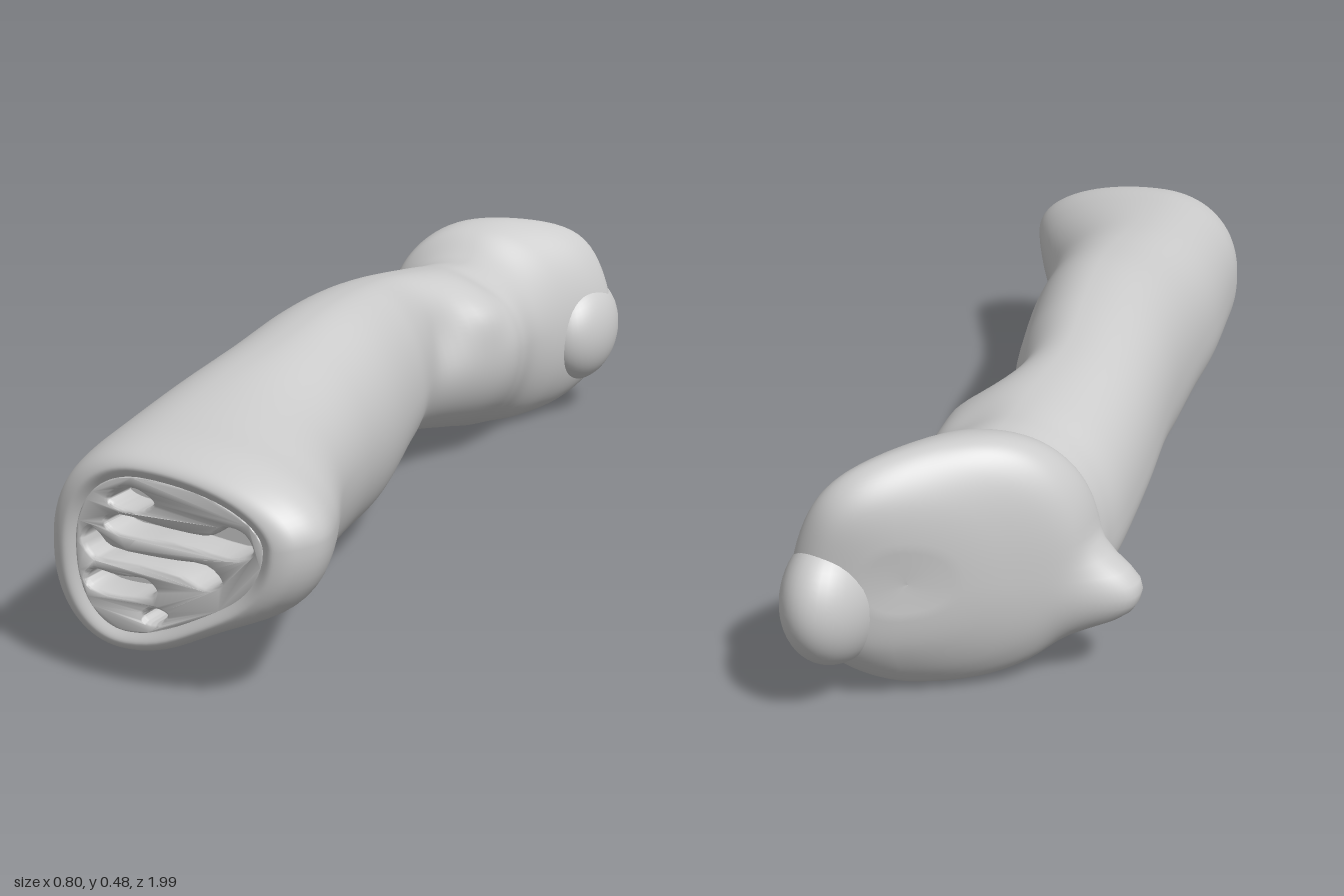
import * as THREE from 'three';
import { mergeVertices, toCreasedNormals } from 'three/addons/utils/BufferGeometryUtils.js';

// Cross-sections: [zLeft, xLeft, yLeft, zRight, xRight, yRight, xTop, yTop, xBottom, yBottom]
const shaftRows = [
  [0.983, -0.045, 0.23, 0.983, 0.32, 0.29, 0.10, 0.375, 0.06, 0.10],
  [0.993, -0.07, 0.22, 0.993, 0.345, 0.295, 0.10, 0.395, 0.055, 0.08],
  [0.97, -0.105, 0.22, 0.97, 0.378, 0.30, 0.10, 0.415, 0.045, 0.06],
  [0.91, -0.127, 0.22, 0.91, 0.395, 0.30, 0.10, 0.43, 0.04, 0.05],
  [0.80, -0.145, 0.22, 0.80, 0.35, 0.285, 0.07, 0.437, 0.03, 0.043],
  [0.60, -0.175, 0.22, 0.60, 0.25, 0.27, 0.03, 0.45, 0.02, 0.04],
  [0.40, -0.195, 0.23, 0.40, 0.19, 0.26, 0.01, 0.466, 0.00, 0.04],
  [0.20, -0.22, 0.24, 0.20, 0.145, 0.26, -0.02, 0.48, -0.02, 0.042],
  [0.00, -0.25, 0.25, 0.00, 0.09, 0.26, -0.06, 0.472, -0.07, 0.082],
  [-0.20, -0.28, 0.23, -0.20, 0.035, 0.26, -0.10, 0.45, -0.11, 0.09],
  [-0.40, -0.30, 0.21, -0.40, 0.09, 0.25, -0.10, 0.427, -0.10, 0.055],
  [-0.50, -0.30, 0.20, -0.50, 0.085, 0.24, -0.10, 0.415, -0.10, 0.03],
];
// The head leans so its end face looks back and to one side
const headRows = [
  [-0.56, -0.305, 0.21, -0.62, 0.066, 0.23, -0.10, 0.415, -0.08, 0.015],
  [-0.60, -0.318, 0.24, -0.74, 0.09, 0.22, -0.12, 0.465, -0.06, 0.004],
  [-0.66, -0.315, 0.24, -0.85, 0.13, 0.22, -0.12, 0.48, -0.05, 0.008],
  [-0.71, -0.29, 0.24, -0.91, 0.13, 0.22, -0.09, 0.46, -0.04, 0.05],
  [-0.775, -0.215, 0.245, -0.935, 0.075, 0.23, -0.065, 0.40, -0.04, 0.12],
  [-0.825, -0.145, 0.25, -0.91, 0.0, 0.24, -0.065, 0.32, -0.06, 0.19],
  [-0.865, -0.07, 0.25, -0.865, -0.069, 0.25, -0.07, 0.251, -0.07, 0.25],
];

// Smooth local swellings: centre, push, radius, falloff power (higher is blunter)
const bumps = [
  { at: [-0.32, 0.16, -0.62], push: [-0.088, 0, 0.005], r: 0.075, n: 3 }, // side knob
  { at: [0.02, 0.40, -0.86], push: [0.01, 0.012, -0.03], r: 0.11, n: 2 }, // head shoulder
  { at: [0.03, 0.33, -0.24], push: [-0.015, -0.01, 0], r: 0.07, n: 2 }, // shaft dents
  { at: [-0.02, 0.38, -0.48], push: [0, -0.015, 0], r: 0.07, n: 2 },
  { at: [0.04, 0.33, -0.36], push: [0.012, 0.008, 0], r: 0.05, n: 2 },
  { at: [0.24, 0.09, 0.93], push: [-0.02, 0.025, 0], r: 0.13, n: 2 },
].map(b => ({ ...b, at: new THREE.Vector3(...b.at), push: new THREE.Vector3(...b.push) }));

// Point on a section made of four quarter ellipses, a little fuller on the right flank (-x)
function sectionPoint(s, t) {
  const [zl, xl, yl, zr, xr, yr, xt, yt, xb, yb] = s;
  const c = Math.cos(t), n = Math.sin(t), e = c < 0 ? 0.88 : 1;
  const xm = n > 0 ? xt : xb, ym = c > 0 ? yr : yl;
  const x = xm + ((c > 0 ? xr : xl) - xm) * Math.abs(c) ** e;
  const y = ym + ((n > 0 ? yt : yb) - ym) * Math.abs(n) ** e;
  return new THREE.Vector3(x, y, zl + (zr - zl) * (x - xl) / (xr - xl));
}

function swell(p) {
  const o = p.clone();
  for (const b of bumps) p.addScaledVector(b.push, Math.exp(-Math.pow(o.distanceTo(b.at) / b.r, b.n)));
  return p;
}

function catmull(a, b, c, d, t) {
  return 0.5 * (2 * b + (c - a) * t + (2 * a - 5 * b + 4 * c - d) * t * t + (3 * b - a - 3 * c + d) * t * t * t);
}

// Skin through all sections
function loft(rows, sides, steps) {
  const pos = [], idx = [], last = rows.length - 1;
  const total = last * steps;
  for (let i = 0; i <= total; i++) {
    const k = Math.min(Math.floor(i / steps), last - 1), t = i / steps - k;
    const [a, b, c, d] = [k - 1, k, k + 1, k + 2].map(q => rows[Math.min(Math.max(q, 0), last)]);
    // linear over the closing cap, so the tip cannot fold over
    const s = b.map((v, m) => k === last - 1 ? v + (c[m] - v) * t : catmull(a[m], v, c[m], d[m], t));
    for (let j = 0; j < sides; j++) {
      pos.push(...swell(sectionPoint(s, j / sides * Math.PI * 2)).toArray());
      if (i < total) {
        const e = i * sides + j, f = i * sides + (j + 1) % sides;
        idx.push(e, e + sides, f, f, e + sides, f + sides);
      }
    }
  }
  const g = new THREE.BufferGeometry();
  g.setAttribute('position', new THREE.Float32BufferAttribute(pos, 3));
  g.setIndex(idx);
  g.computeVertexNormals();
  return g;
}

export function createModel() {
  const group = new THREE.Group();
  group.name = 'bone';
  const mat = new THREE.MeshStandardMaterial({ color: 0xcccccc, roughness: 0.8, side: THREE.DoubleSide });
  const add = (name, geo, x = 0, y = 0, z = 0) => {
    const m = new THREE.Mesh(geo, mat);
    m.name = name;
    m.position.set(x, y, z);
    group.add(m);
    return m;
  };

  add('boneShaftAndHead', loft([...shaftRows, ...headRows], 80, 8));

  // Rounded knuckle at the far end, tilted up towards the back
  const knuckle = add('endKnuckle', new THREE.SphereGeometry(1, 40, 28), 0.068, 0.205, -0.862);
  knuckle.scale.set(0.086, 0.122, 0.136);
  knuckle.rotation.x = 0.35;

  // Pierced plate closing the front end
  const outline = [];
  for (let j = 0; j < 80; j++) {
    const p = swell(sectionPoint(shaftRows[0], j / 80 * Math.PI * 2));
    outline.push(new THREE.Vector2(p.x, p.y));
  }
  const plate = new THREE.Shape(outline);
  const holes = [
    [[0.015, 0.325], [0.04, 0.353], [0.08, 0.358], [0.115, 0.335], [0.09, 0.313], [0.04, 0.311]],
    [[0.005, 0.285], [0.03, 0.306], [0.13, 0.299], [0.215, 0.302], [0.25, 0.323], [0.29, 0.316], [0.306, 0.285], [0.27, 0.263], [0.15, 0.266], [0.03, 0.266]],
    [[-0.04, 0.25], [-0.02, 0.277], [0.0, 0.268], [0.02, 0.249], [0.12, 0.244], [0.215, 0.246], [0.242, 0.22], [0.205, 0.198], [0.15, 0.212], [0.02, 0.215], [-0.02, 0.217]],
    [[-0.036, 0.18], [-0.02, 0.202], [0.03, 0.199], [0.09, 0.2], [0.112, 0.18], [0.085, 0.161], [-0.02, 0.161]],
    [[0.075, 0.133], [0.10, 0.154], [0.134, 0.145], [0.117, 0.122], [0.09, 0.119]],
  ];
  for (const h of holes) {
    const path = new THREE.CatmullRomCurve3(h.map(([x, y]) => new THREE.Vector3(x, y, 0)), true);
    plate.holes.push(new THREE.Path(path.getPoints(36).slice(0, -1).map(p => new THREE.Vector2(p.x, p.y))));
  }
  const geo = new THREE.ExtrudeGeometry(plate, {
    depth: 0.05, bevelThickness: 0.01, bevelSize: 0.006, bevelSegments: 3, curveSegments: 1,
  });
  // Dish the plate gently towards its middle
  const p = geo.attributes.position;
  for (let i = 0; i < p.count; i++) {
    const r2 = ((p.getX(i) - 0.14) / 0.185) ** 2 + ((p.getY(i) - 0.24) / 0.14) ** 2;
    p.setZ(i, p.getZ(i) - 0.01 * Math.max(0, 1 - r2));
  }
  geo.deleteAttribute('uv');
  geo.deleteAttribute('normal');
  add('piercedEndPlate', toCreasedNormals(mergeVertices(geo, 1e-5), 1.0), 0, 0, 0.925);
  add('cavityFloor', new THREE.ShapeGeometry(new THREE.Shape(outline)), 0, 0, 0.91);
  return group;
}
